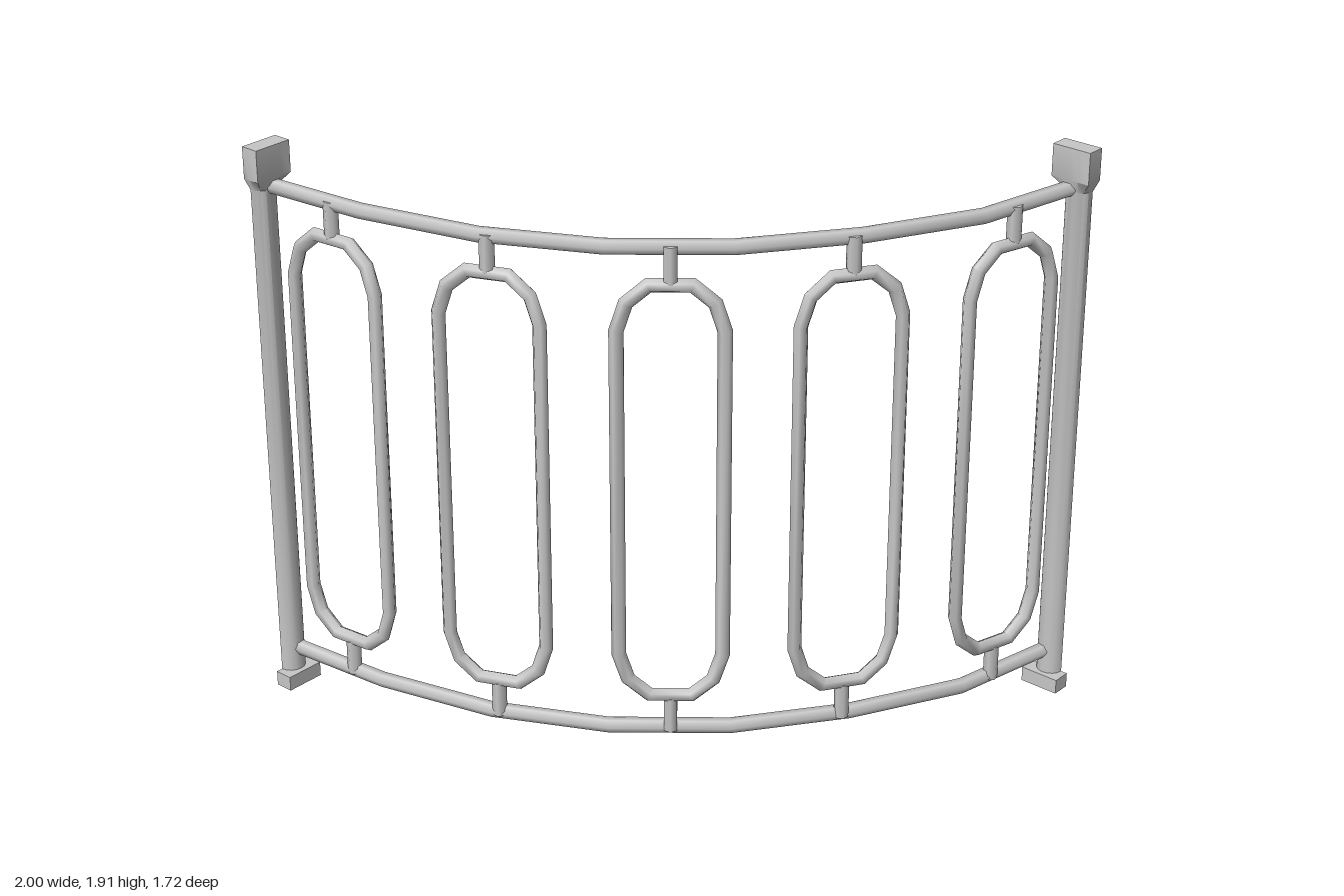
import * as THREE from 'three';
import { toCreasedNormals } from 'three/addons/utils/BufferGeometryUtils.js';

function buildGeometry(points, index, crease) {
  const g = new THREE.BufferGeometry();
  g.setAttribute('position', new THREE.Float32BufferAttribute(points.flatMap((p) => [p.x, p.y, p.z]), 3));
  g.setIndex(index);
  return toCreasedNormals(g, crease);
}

// Mitred six-sided bar along a flat path; b is the normal of the path's plane
function sweepBar(path, b, radius, closed) {
  const n = path.length, sides = 6, pts = [], index = [];
  path.forEach((p, i) => {
    const prev = path[closed ? (i + n - 1) % n : Math.max(i - 1, 0)];
    const next = path[closed ? (i + 1) % n : Math.min(i + 1, n - 1)];
    const d1 = p.clone().sub(prev).normalize();
    const d2 = next.clone().sub(p).normalize();
    const t = d1.clone().add(d2).normalize();
    const miter = 1 / t.dot(d2.lengthSq() > 0 ? d2 : d1);
    const side = b.clone().cross(t);
    for (let j = 0; j < sides; j++) {
      const a = (j / sides) * Math.PI * 2;
      pts.push(p.clone().addScaledVector(side, Math.cos(a) * radius * miter).addScaledVector(b, Math.sin(a) * radius));
    }
  });
  for (let i = 0; i < (closed ? n : n - 1); i++) {
    for (let j = 0; j < sides; j++) {
      const k = (j + 1) % sides, m = ((i + 1) % n) * sides;
      const a = i * sides + j, c = i * sides + k;
      index.push(a, c, m + k, a, m + k, m + j);
    }
  }
  if (!closed) {
    const e = (n - 1) * sides;
    for (let j = 1; j < sides - 1; j++) index.push(0, j + 1, j, e, e + j, e + j + 1);
  }
  return buildGeometry(pts, index, 1.15);
}

// Open-backed post: half-round shaft with a square foot and a flared square head
function postGeometry() {
  const seg = 8, pts = [], index = [];
  const rows = [
    ['centre', 0], ['square', 0], ['square', 0.05], ['round', 0.05], ['round', 1.762],
    ['square', 1.806], ['square', 1.911], ['centre', 1.911],
  ];
  rows.forEach(([shape, y]) => {
    for (let j = 0; j <= seg; j++) {
      const a = (j / seg) * Math.PI;
      const c = Math.cos(a), s = Math.sin(a), m = Math.max(Math.abs(c), s);
      if (shape === 'round') pts.push(new THREE.Vector3(c * 0.045, y, s * 0.045));
      else if (shape === 'square') pts.push(new THREE.Vector3((c / m) * 0.068, y, (s / m) * 0.063));
      else pts.push(new THREE.Vector3(0, y, 0));
    }
  });
  for (let k = 0; k < rows.length - 1; k++) {
    for (let j = 0; j < seg; j++) {
      const a = k * (seg + 1) + j, b = a + seg + 1;
      if (rows[k + 1][0] !== 'centre') index.push(a, b, b + 1);
      if (rows[k][0] !== 'centre') index.push(a, b + 1, a + 1);
    }
  }
  return buildGeometry(pts, index, 0.6);
}

export function createModel() {
  const group = new THREE.Group();
  const metal = new THREE.MeshStandardMaterial({ color: 0xc6c6c6, side: THREE.DoubleSide });
  metal.name = 'grey metal';
  const add = (parent, name, geometry, x = 0, y = 0, z = 0, turn = 0) => {
    const mesh = new THREE.Mesh(geometry, metal);
    mesh.name = name;
    mesh.position.set(x, y, z);
    mesh.rotation.y = turn;
    parent.add(mesh);
  };

  // Curved rails
  const plan = [[-0.98, 0.785], [-0.6, 0.75], [-0.2, 0.65], [0.145, 0.475], [0.44, 0.225], [0.67, -0.095], [0.85, -0.455], [0.92, -0.84]];
  const path = plan.map(([x, z]) => new THREE.Vector3(x, 0, z));
  const rail = sweepBar(path, new THREE.Vector3(0, 1, 0), 0.025, false);
  add(group, 'topRail', rail, 0, 1.772);
  add(group, 'bottomRail', rail, 0, 0.127);

  // End posts
  const post = postGeometry();
  add(group, 'rightEndPost', post, -1, 0, 0.79, Math.PI / 2);
  add(group, 'leftEndPost', post, 0.928, 0, -0.86);

  // Long ring outline, mirrored from one quarter
  const quarter = [[0.163, 0.555], [0.134, 0.645], [0.066, 0.703]];
  const half = [...quarter, ...quarter.map(([x, y]) => [-x, y]).reverse()];
  const outline = [...half, ...half.map(([x, y]) => [-x, -y])];
  const ring = sweepBar(outline.map(([x, y]) => new THREE.Vector3(x, y, 0)), new THREE.Vector3(0, 0, 1), 0.023, true);
  const stub = new THREE.CylinderGeometry(0.024, 0.024, 0.12, 6);

  // Ring panels with their short connectors, each turned to follow the rail
  const panels = [[-0.715, 0.766, 5.5], [-0.172, 0.643, 23], [0.304, 0.356, 40.5], [0.662, -0.064, 58], [0.882, -0.575, 75.5]];
  panels.forEach(([x, z, degrees], i) => {
    const panel = new THREE.Group();
    panel.name = `ringPanel${i + 1}`;
    panel.position.set(x, 0.95, z);
    panel.rotation.y = THREE.MathUtils.degToRad(degrees);
    add(panel, 'ring', ring);
    add(panel, 'upperConnector', stub, 0, 0.77);
    add(panel, 'lowerConnector', stub, 0, -0.77);
    group.add(panel);
  });
  return group;
}
